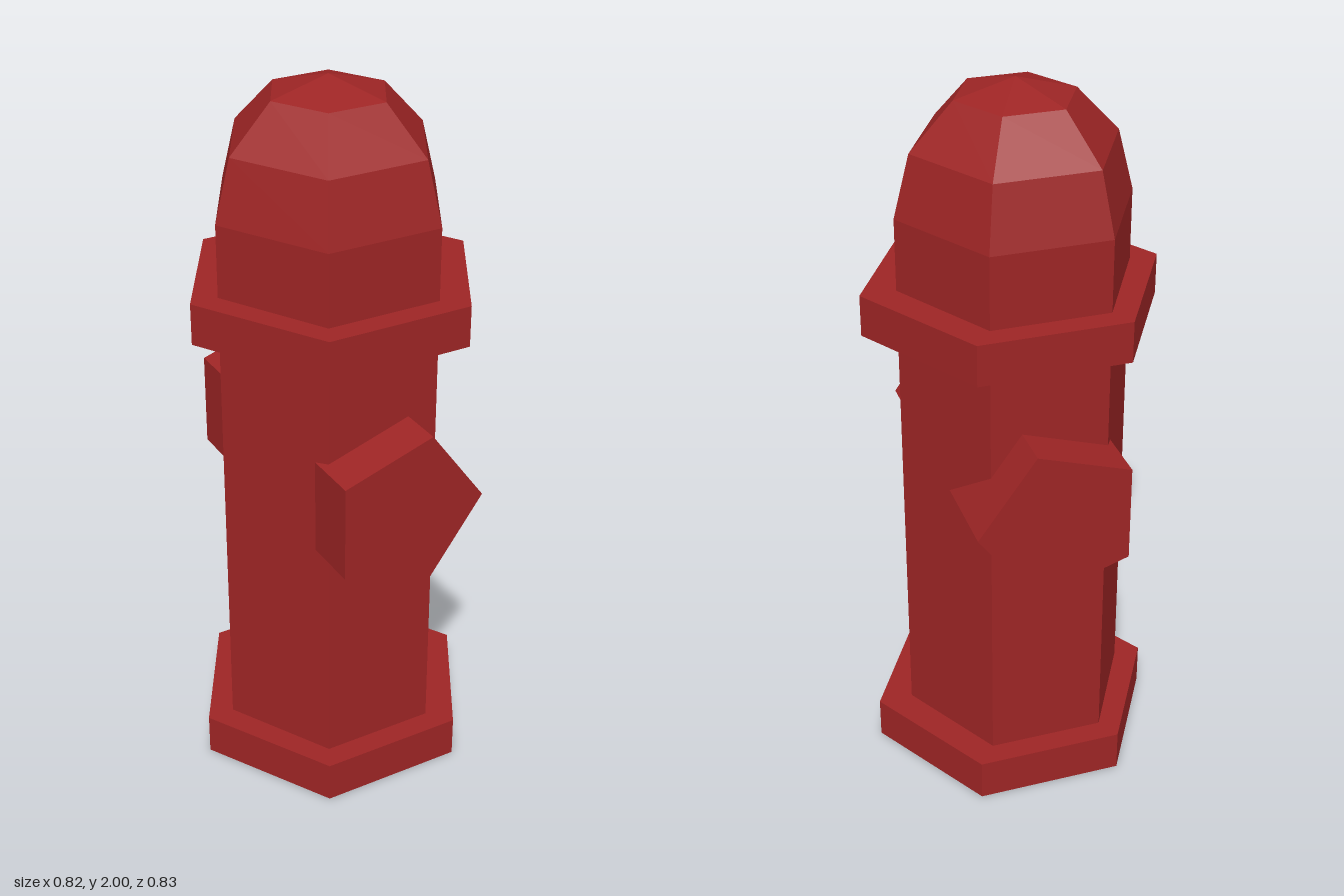
import * as THREE from 'three';

export function createModel() {
  const group = new THREE.Group();
  const red = new THREE.MeshStandardMaterial({ color: 0x9e2525, flatShading: true });
  red.name = 'hydrant red';

  const add = (name, geometry) => {
    const mesh = new THREE.Mesh(geometry, red);
    mesh.name = name;
    group.add(mesh);
    return mesh;
  };
  // Six-sided lathe with corners on the x axis; profile runs bottom to top
  const hexLathe = (profile) =>
    new THREE.LatheGeometry(profile.map(([r, y]) => new THREE.Vector2(r, y)), 6, Math.PI / 6);

  // Barrel with its faceted dome, slightly off centre and a little deeper than wide
  const barrel = add('barrelAndDome', hexLathe([
    [0.324, 0.115], [0.324, 1.66], [0.28, 1.83], [0.163, 1.955], [0, 2],
  ]));
  barrel.scale.z = 1.038;
  barrel.position.x = -0.01;

  // Base flange, hollow underneath with a recessed floor
  add('baseFlange', hexLathe([
    [0, 0.115], [0.318, 0.115], [0.318, 0.07], [0.405, 0.07],
    [0.405, 0], [0.412, 0], [0.412, 0.12], [0.3, 0.12],
  ]));

  // Solid collar below the dome
  add('upperCollar', hexLathe([
    [0.25, 1.345], [0.412, 1.345], [0.412, 1.46], [0.25, 1.46],
  ]));

  // Five-sided outlet running through the barrel from front to back
  const outlet = new THREE.CylinderGeometry(0.2315, 0.2315, 0.83, 5, 1, false, Math.PI / 2);
  outlet.rotateX(Math.PI / 2);
  add('outlets', outlet).position.set(-0.005, 0.926, 0);

  return group;
}
